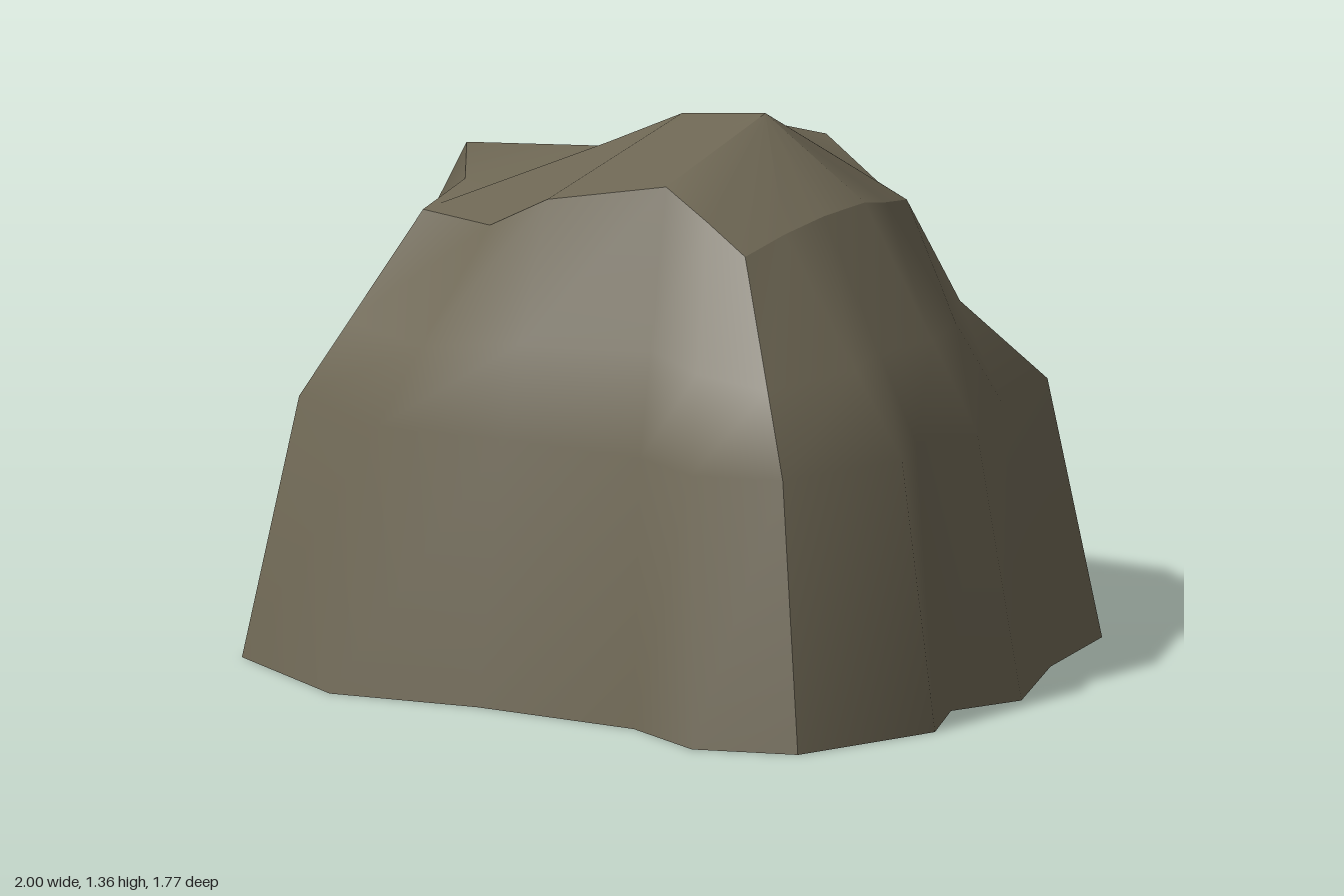
import * as THREE from 'three';

// One row per vertical rib, five per side: base x, base z, rim x, rim y, rim z
const SIDES = {
  backFace: [
    [-0.86, -0.40, -0.52, 1.08, -0.21], [-0.49, -0.52, -0.29, 1.10, -0.26],
    [-0.17, -0.73, -0.11, 1.16, -0.39], [0.06, -0.76, 0.13, 1.22, -0.38],
    [0.23, -0.89, 0.30, 1.13, -0.37],
  ],
  leftFace: [
    [0.68, -0.75, 0.39, 1.10, -0.37], [0.78, -0.44, 0.45, 1.13, -0.22],
    [0.95, -0.13, 0.52, 1.17, -0.06], [0.89, 0.06, 0.51, 1.16, 0.08],
    [1.00, 0.25, 0.505, 1.14, 0.22],
  ],
  frontFace: [
    [0.90, 0.64, 0.50, 1.11, 0.36], [0.67, 0.76, 0.39, 1.18, 0.37],
    [0.43, 0.69, 0.27, 1.25, 0.38], [0.00, 0.76, 0.00, 1.20, 0.50],
    [-0.36, 0.88, -0.23, 1.09, 0.44],
  ],
  rightFace: [
    [-0.76, 0.73, -0.43, 1.10, 0.45], [-0.82, 0.43, -0.45, 1.14, 0.27],
    [-1.00, 0.17, -0.58, 1.18, 0.11], [-0.93, 0.02, -0.56, 1.14, 0.00],
    [-0.94, -0.13, -0.54, 1.11, -0.10],
  ],
};

// Hollow worn into the back, near its left corner
const HOLLOW = { 4: [0.25, 0.82, -0.52], 5: [0.43, 0.83, -0.52] };

// Skin a grid of points; each column runs from bottom to top
function skin(columns) {
  const rows = columns[0].length;
  const index = [];
  for (let i = 0; i < columns.length - 1; i++) {
    for (let j = 0; j < rows - 1; j++) {
      const a = i * rows + j, b = a + rows;
      index.push(b, a, a + 1, b, a + 1, b + 1);
    }
  }
  const geometry = new THREE.BufferGeometry();
  geometry.setAttribute('position', new THREE.Float32BufferAttribute(columns.flat(2), 3));
  geometry.setIndex(index);
  geometry.computeVertexNormals();
  return geometry;
}

// Rib from the ground through the shoulder to the rim
function rib([bx, bz, tx, ty, tz], i) {
  const s = 0.87, shoulder = [bx * s, 0.64, bz * s], rim = [tx, ty, tz];
  const upper = HOLLOW[i] || shoulder.map((v, k) => v + (rim[k] - v) * 0.4);
  return [[bx, 0, bz], shoulder, upper, rim];
}

// Height of the ridge along the crown
function ridgeHeight(x) {
  return x < 0 ? 1.32 + (x / 0.26) * 0.12 : 1.32 + (x / 0.26) * 0.04;
}

export function createModel() {
  const group = new THREE.Group();
  group.name = 'rock';
  const stone = new THREE.MeshStandardMaterial({ color: 0x6e6754, side: THREE.DoubleSide });
  stone.name = 'stone';

  const add = (name, geometry) => {
    const mesh = new THREE.Mesh(geometry, stone);
    mesh.name = name;
    group.add(mesh);
  };

  const ribs = Object.values(SIDES).flat().map(rib);
  ribs.push(ribs[0]);

  // Four rough sides, each smooth within itself and sharp at the corners
  Object.keys(SIDES).forEach((name, i) => add(name, skin(ribs.slice(i * 5, i * 5 + 6))));

  // Crown rising from the rim to the ridge
  add('crown', skin(ribs.map((r) => {
    const rim = r[3];
    const x = THREE.MathUtils.clamp(rim[0], -0.26, 0.26);
    return [rim, [x, ridgeHeight(x), 0]];
  })));

  return group;
}
